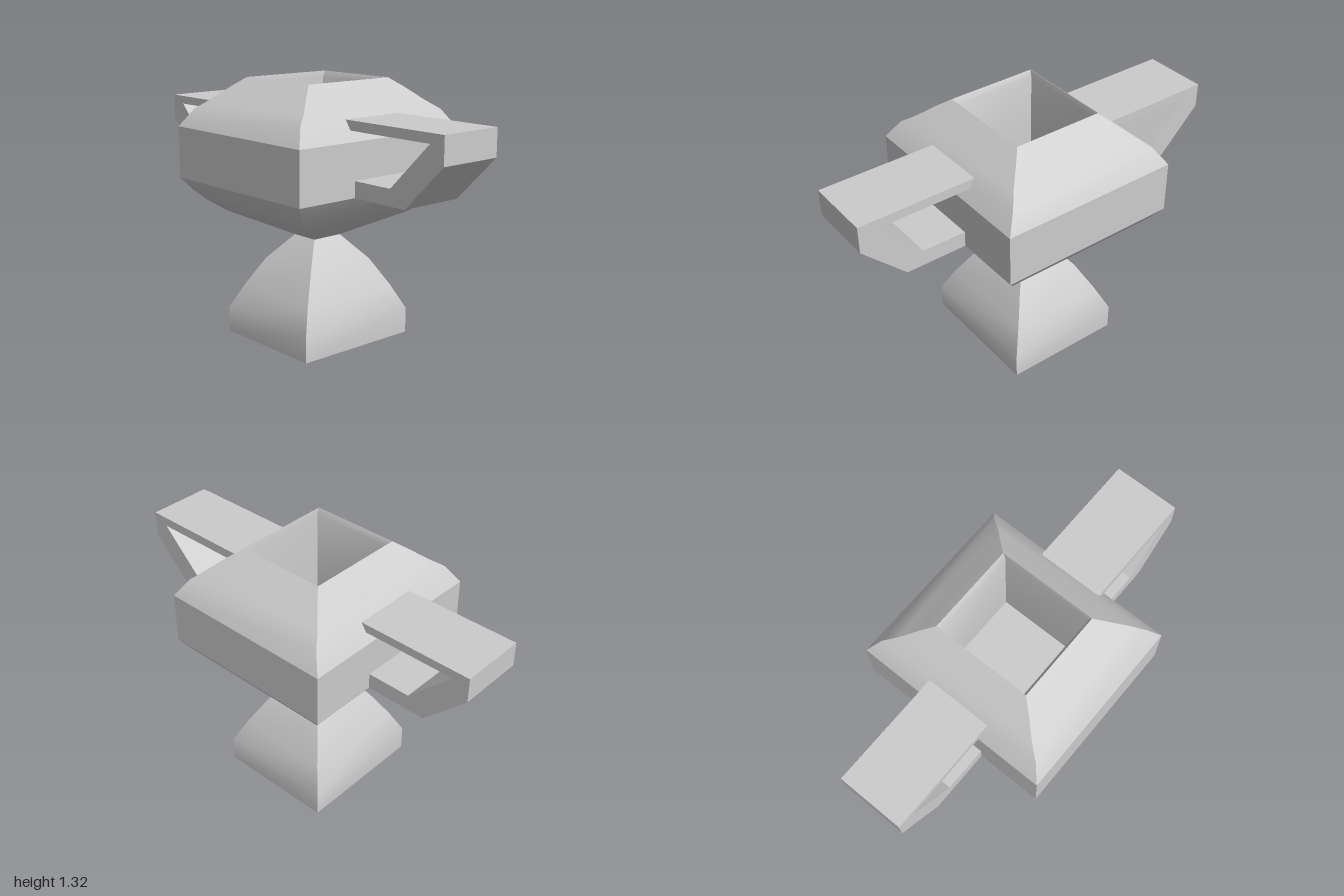
import * as THREE from 'three';
import { toCreasedNormals } from 'three/addons/utils/BufferGeometryUtils.js';

const grey = new THREE.MeshStandardMaterial({ color: 0xcccccc });
const CORNERS = [[1, 1], [1, -1], [-1, -1], [-1, 1]];

// Skin through a stack of centred rectangles, each [y, halfX, halfZ]
function rectLoft(sections) {
  const positions = [];
  const corner = ([y, hx, hz], k) => {
    const [sx, sz] = CORNERS[k % 4];
    return [sx * hx, y, sz * hz];
  };
  for (let i = 0; i < sections.length - 1; i++) {
    const low = sections[i], high = sections[i + 1];
    for (let k = 0; k < 4; k++) {
      const a = corner(low, k), b = corner(low, k + 1);
      const c = corner(high, k + 1), d = corner(high, k);
      if (low[1] > 0) positions.push(...a, ...b, ...c);
      if (high[1] > 0) positions.push(...a, ...c, ...d);
    }
  }
  const geometry = new THREE.BufferGeometry();
  geometry.setAttribute('position', new THREE.Float32BufferAttribute(positions, 3));
  return toCreasedNormals(geometry, 0.5);
}

function addMesh(group, name, geometry) {
  const mesh = new THREE.Mesh(geometry, grey);
  mesh.name = name;
  group.add(mesh);
}

// C-shaped bar outline in (z, y), extruded across x
function handleGeometry(points) {
  const shape = new THREE.Shape(points.map(([z, y]) => new THREE.Vector2(z, y)));
  const geometry = new THREE.ExtrudeGeometry(shape, { depth: 0.34, bevelEnabled: false });
  geometry.rotateY(-Math.PI / 2);
  geometry.translate(0.16, 0, 0);
  return geometry;
}

export function createModel() {
  const model = new THREE.Group();
  model.name = 'trophyCup';

  // Flared foot, closed underneath
  addMesh(model, 'foot', rectLoft([
    [0, 0, 0], [0, 0.338, 0.305], [0.13, 0.338, 0.305],
    [0.25, 0.28, 0.25], [0.395, 0.195, 0.175], [0.52, 0.085, 0.075],
  ]));

  // Bowl: outer skin, rim, straight well and its floor
  addMesh(model, 'bowl', rectLoft([
    [0.52, 0.085, 0.075], [0.64, 0.335, 0.30], [0.695, 0.41, 0.37],
    [0.75, 0.465, 0.42], [0.81, 0.51, 0.465], [1.07, 0.51, 0.465],
    [1.16, 0.453, 0.405], [1.205, 0.39, 0.355], [1.27, 0.315, 0.285],
    [1.315, 0.256, 0.233],
    [1.285, 0.24, 0.228], [0.8, 0.24, 0.228], [0.8, 0, 0],
  ]));

  // Handles at front and back; bar ends sink into the bowl
  addMesh(model, 'frontHandle', handleGeometry([
    [0.4, 1.165], [0.4, 1.118], [0.92, 1.118], [0.69, 0.89], [0.42, 0.89],
    [0.42, 0.81], [0.78, 0.81], [1, 1.03], [1, 1.165],
  ]));
  addMesh(model, 'backHandle', handleGeometry([
    [-0.4, 1.155], [-0.4, 1.113], [-0.915, 1.113], [-0.69, 0.89], [-0.42, 0.89],
    [-0.42, 0.81], [-0.78, 0.81], [-1, 1.03], [-1, 1.155],
  ]));

  return model;
}
